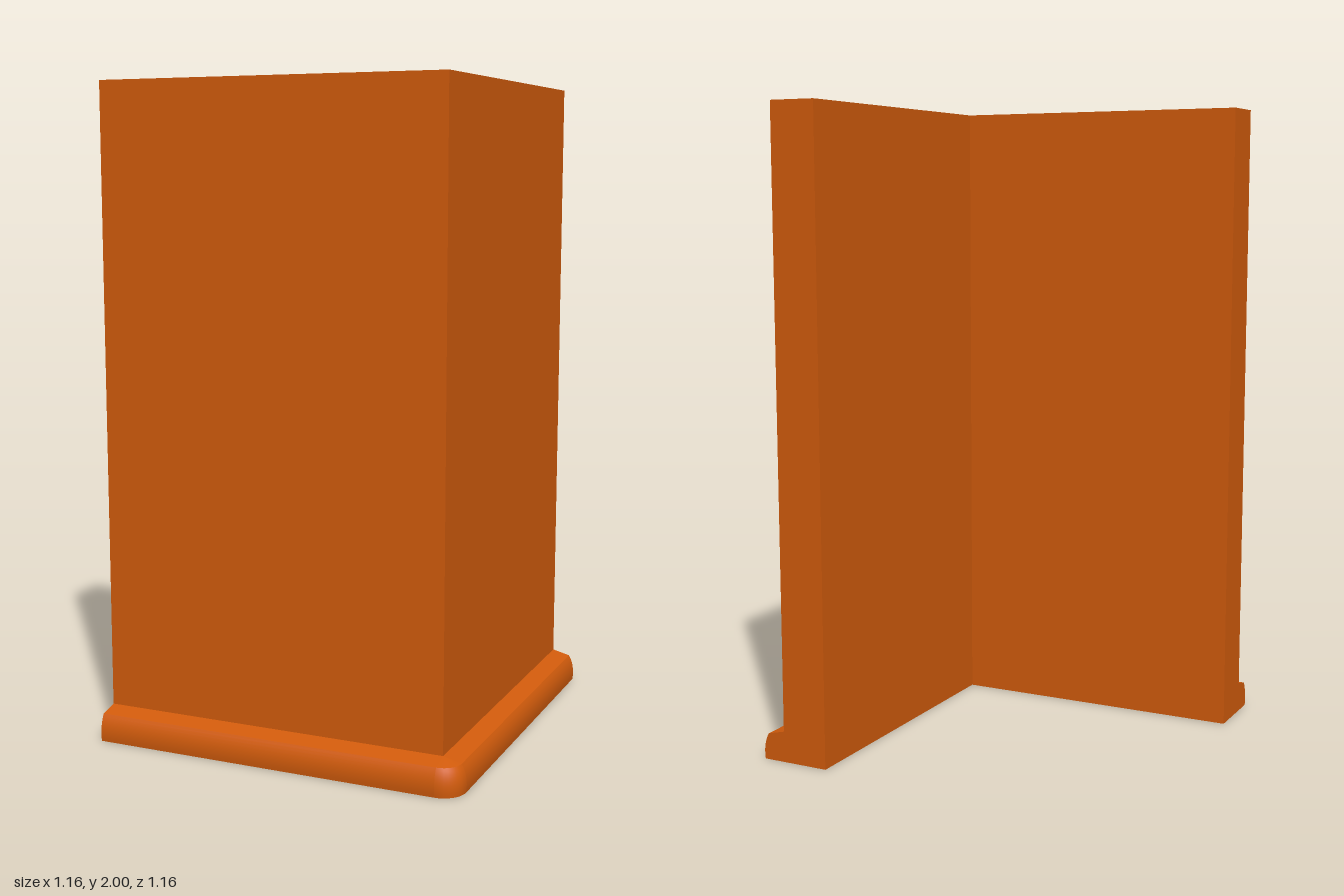
import * as THREE from 'three';
import { toCreasedNormals } from 'three/addons/utils/BufferGeometryUtils.js';

const OUTER = 0.51, INNER = 0.36, END = -0.583, HEIGHT = 2;

export function createModel() {
  const model = new THREE.Group();
  model.name = 'cornerWall';
  const orange = new THREE.MeshStandardMaterial({ name: 'burnt orange', color: 0xd35c0c });

  const add = (name, geometry, parent) => {
    const mesh = new THREE.Mesh(geometry, orange);
    mesh.name = name;
    parent.add(mesh);
    return mesh;
  };

  // L-shaped wall, drawn in plan (shape y is -z) and raised
  const plan = new THREE.Shape([
    [END, -OUTER], [OUTER, -OUTER], [OUTER, -END],
    [INNER, -END], [INNER, -INNER], [END, -INNER],
  ].map(([x, y]) => new THREE.Vector2(x, y)));
  const wall = new THREE.ExtrudeGeometry(plan, { depth: HEIGHT, bevelEnabled: false });
  wall.rotateX(-Math.PI / 2);
  add('wall', wall, model);

  // Skirting profile: x is the distance out from the wall, y the height
  const profile = new THREE.Shape();
  profile.moveTo(0, 0);
  profile.lineTo(0.07, 0);
  profile.quadraticCurveTo(0.077, 0.05, 0.056, 0.083);
  profile.lineTo(0, 0.097);

  const skirting = new THREE.Group();
  skirting.name = 'skirting';
  model.add(skirting);

  // Straight runs along the side and the front
  const run = toCreasedNormals(
    new THREE.ExtrudeGeometry(profile, { depth: OUTER - END, bevelEnabled: false, curveSegments: 8 }), 0.4);
  add('sideSkirting', run, skirting).position.set(OUTER, 0, END);
  const front = add('frontSkirting', run, skirting);
  front.position.set(OUTER, 0, OUTER);
  front.rotation.y = -Math.PI / 2;

  // Rounded corner joining the two runs
  const corner = toCreasedNormals(
    new THREE.LatheGeometry(profile.getPoints(8), 8, 0, Math.PI / 2), 0.4);
  add('cornerSkirting', corner, skirting).position.set(OUTER, 0, OUTER);

  return model;
}
